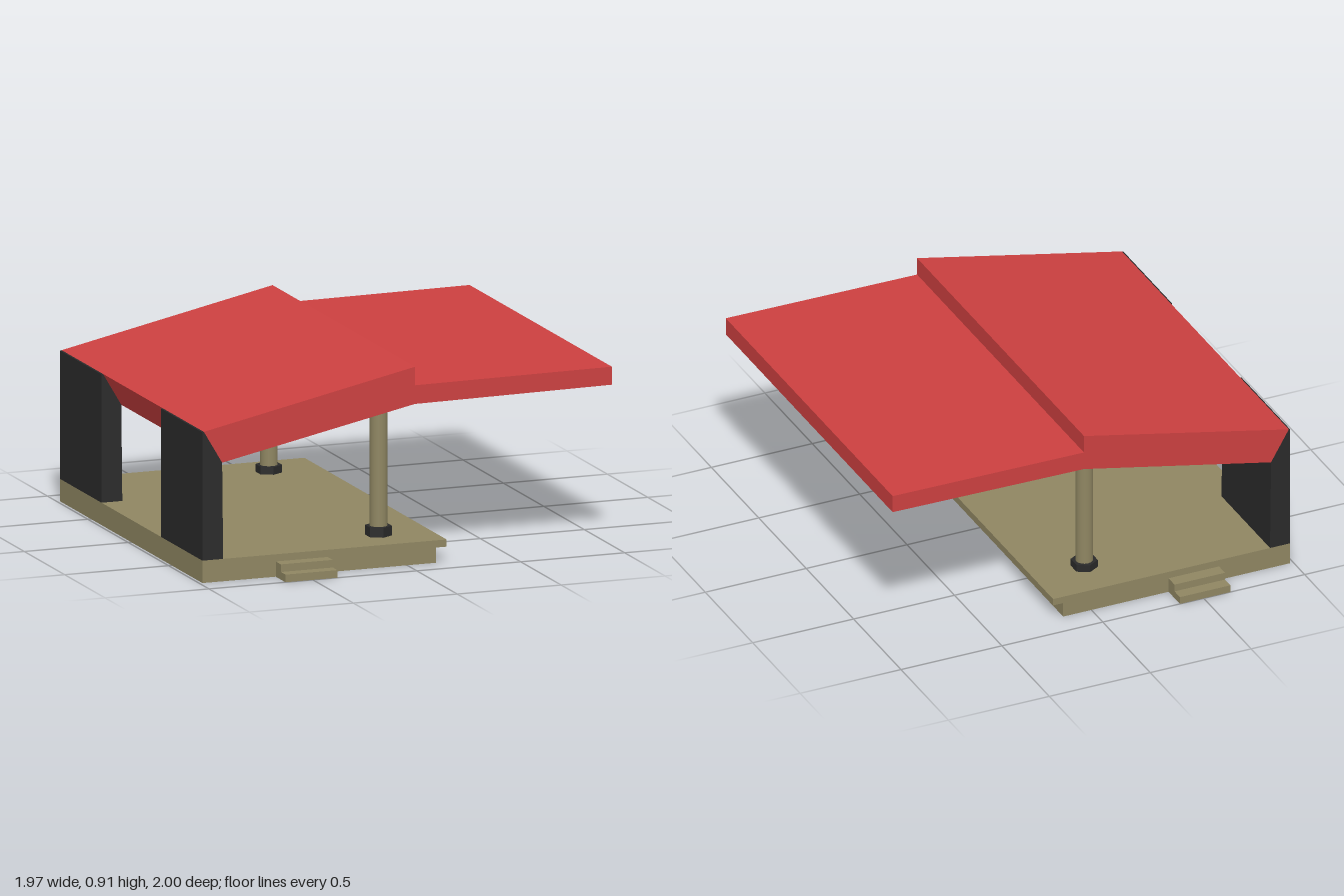
import * as THREE from 'three';

const red = new THREE.MeshStandardMaterial({ color: 0xcc4040 });
const tan = new THREE.MeshStandardMaterial({ color: 0x8f8662 });
const dark = new THREE.MeshStandardMaterial({ color: 0x2a2a2a });

// Extrude an x-y profile from z0 to z1
function slab(name, points, z0, z1, material) {
  const shape = new THREE.Shape(points.map(([x, y]) => new THREE.Vector2(x, y)));
  const geometry = new THREE.ExtrudeGeometry(shape, { depth: z1 - z0, bevelEnabled: false });
  geometry.translate(0, 0, z0);
  const mesh = new THREE.Mesh(geometry, material);
  mesh.name = name;
  return mesh;
}

function post(name, radius, y0, y1, z, sides, material) {
  const mesh = new THREE.Mesh(new THREE.CylinderGeometry(radius, radius, y1 - y0, sides), material);
  mesh.position.set(-0.062, (y0 + y1) / 2, z);
  mesh.name = name;
  return mesh;
}

export function createModel() {
  const model = new THREE.Group();
  model.name = 'shelter';
  const half = 0.88;

  // Platform with an overhanging lip along its +x edge
  model.add(slab('platform', [
    [-0.985, 0], [0.14, 0], [0.14, 0.07], [0.19, 0.07], [0.19, 0.103], [-0.985, 0.103],
  ], -half, half, tan));

  // Roof: a sloped half and a lower, nearly flat canopy
  model.add(slab('roof', [
    [-0.978, 0.695], [-0.89, 0.546], [0.037, 0.739], [0.985, 0.749],
    [0.985, 0.832], [0.037, 0.825], [0.037, 0.91],
  ], -half, half, red));

  // Side walls, mitred under the roof edge
  const wall = [[-0.985, 0.103], [-0.885, 0.103], [-0.89, 0.546], [-0.978, 0.695], [-0.985, 0.693]];
  model.add(slab('leftWall', wall, 0.368, half, dark));
  model.add(slab('rightWall', wall, -half, -0.368, dark));

  // Columns on hexagonal feet
  for (const [z, footTop] of [[0.685, 0.148], [-0.672, 0.138]]) {
    model.add(post('column', 0.04, 0.103, 0.721, z, 16, tan));
    model.add(post('columnFoot', 0.061, 0.1, footTop, z, 6, dark));
  }
  model.children.filter((m) => m.name === 'columnFoot').forEach((m) => {
    m.geometry = m.geometry.toNonIndexed();
    m.geometry.computeVertexNormals();
  });

  // Two-tread steps at both ends
  for (const side of [-1, 1]) {
    const steps = new THREE.Group();
    steps.name = 'steps';
    for (const [y, reach] of [[0, 1], [0.035, 0.943]]) {
      const depth = reach - half;
      const tread = new THREE.Mesh(new THREE.BoxGeometry(0.25, 0.035, depth), tan);
      tread.position.set(-0.507, y + 0.0175, side * (half + depth / 2));
      tread.name = 'tread';
      steps.add(tread);
    }
    model.add(steps);
  }
  return model;
}
